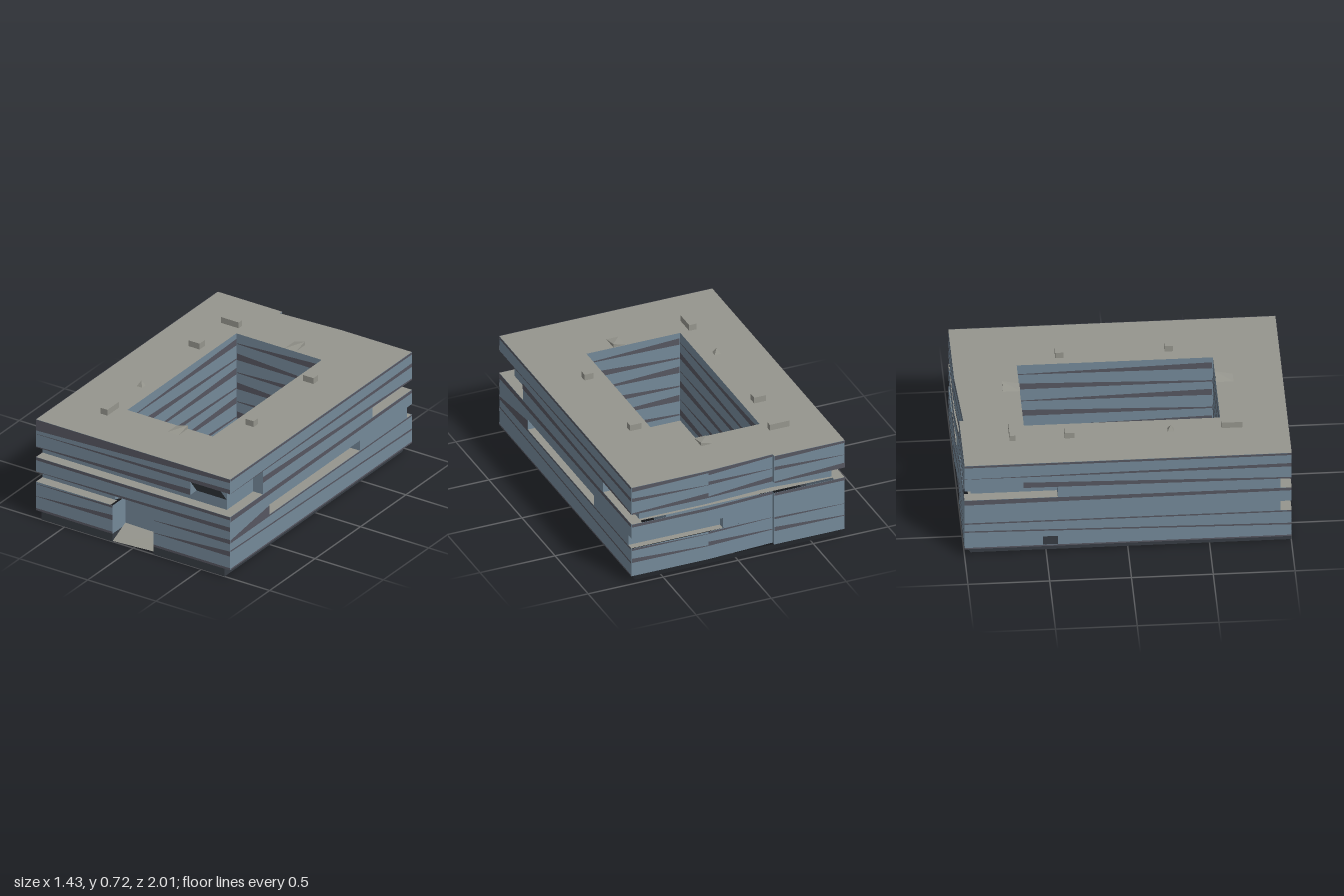
import * as THREE from 'three';

const mat = (name, color) => new THREE.MeshStandardMaterial({ name, color, side: THREE.DoubleSide });

export function createModel() {
  const model = new THREE.Group();
  const wallBlue = mat('blue cladding', 0x748999);
  const bandDark = mat('dark band', 0x565761);
  const baseDark = mat('dark plinth', 0x373c43);
  const roofGrey = mat('roof grey', 0x95958d);

  const add = (name, geo, material) => {
    const mesh = new THREE.Mesh(geo, material);
    mesh.name = name;
    model.add(mesh);
    return mesh;
  };
  // flat quads, each given as four [x, y, z] corners
  const quads = (list) => {
    const pos = [];
    for (const [a, b, c, d] of list) pos.push(...a, ...b, ...c, ...a, ...c, ...d);
    const g = new THREE.BufferGeometry();
    g.setAttribute('position', new THREE.Float32BufferAttribute(pos, 3));
    g.computeVertexNormals();
    return g;
  };
  // upright strip around an outline of [x, z] points
  const wall = (name, outline, y0, y1, material, top = outline) => {
    const list = outline.map((p, i) => {
      const j = (i + 1) % outline.length, q = outline[j];
      return [[p[0], y0, p[1]], [q[0], y0, q[1]], [top[j][0], y1, top[j][1]], [top[i][0], y1, top[i][1]]];
    });
    return add(name, quads(list), material);
  };
  const slab = (x0, x1, z0, z1, y) => [[x0, y, z1], [x1, y, z1], [x1, y, z0], [x0, y, z0]];

  const X = 0.71, IN = 0.64, D = 0.86;
  const door = [[-0.15, 1], [-0.15, D], [0.15, D], [0.15, 1]];
  const back = [[X, -1], [0.2, -1], [-0.24, -0.975], [-0.24, -1], [-X, -1]];
  const full = [[-X, 1], [X, 1], ...back];

  // Plinth, set in at the sides and leaning in at the rear
  const plinth = (z) => [[-0.67, 1], ...door, [0.67, 1], [0.67, z], [-0.67, z]];
  wall('plinth', plinth(-0.96), 0, 0.055, baseDark, plinth(-0.995));
  add('plinthSoffit', quads([slab(0.67, X, -1, 1, 0.055), slab(-X, -0.67, -1, 1, 0.055)]), baseDark);

  // Storeys, stacked from the ground
  wall('groundStorey', [[-X, 1], ...door, [X, 1], ...back], 0.055, 0.25, wallBlue);
  wall('lowerWindowStorey', [
    [-X, 0.93], [-0.18, 0.93], [-0.15, D], [0.15, D], [0.15, 1], [X, 1],
    [X, 0.57], [IN, 0.57], [IN, -0.43], [X, -0.43],
    [X, -0.95], [0.1, -0.95], [0.1, -0.994], [-0.24, -0.975], [-0.24, -1], [-X, -1],
  ], 0.25, 0.32, wallBlue);
  wall('middleStorey', full, 0.32, 0.42, wallBlue);
  wall('upperWindowStorey', [
    [-X, 0.93], [IN, 0.93], [IN, 0.64], [X, 0.64],
    [X, -0.57], [IN, -0.57], [IN, -0.955], [0.2, -0.955], [-0.24, -0.93], [-IN, -0.96],
    [-IN, -0.43], [-X, -0.43],
  ], 0.42, 0.49, wallBlue);
  wall('cornerWindowStorey', [
    [-X, 1], [0.42, 1], [0.42, 0.93], [IN, 0.93], [IN, 0.64], [X, 0.64], ...back,
  ], 0.49, 0.58, wallBlue);
  wall('topStorey', full, 0.58, 0.68, wallBlue);

  // Floors and ceilings of the recessed window strips
  const ledges = [];
  for (const y of [0.25, 0.32]) {
    ledges.push(slab(-X, -0.165, 0.93, 1, y), slab(IN, X, -0.43, 0.57, y), slab(0.1, X, -0.995, -0.95, y));
  }
  for (const y of [0.42, 0.49]) {
    ledges.push(slab(IN, X, -1, -0.57, y), slab(-X, -IN, -1, -0.43, y), slab(-IN, IN, -0.975, -0.93, y));
  }
  ledges.push(slab(-X, X, 0.93, 1, 0.42), slab(-X, 0.42, 0.93, 1, 0.49));
  for (const y of [0.42, 0.58]) ledges.push(slab(IN, X, 0.64, y === 0.42 ? 0.93 : 1, y));
  ledges.push(slab(-0.15, 0.15, D, 1, 0.32));
  add('windowLedges', quads(ledges), roofGrey);
  add('slopedCornerSoffit', quads([[[0.42, 0.49, 0.932], [IN, 0.49, 0.932], [IN, 0.58, 1], [0.42, 0.58, 1]]]), baseDark);
  add('entranceRamp', quads([[[-0.15, 0.005, 1], [0.15, 0.02, 1], [0.15, 0.065, D], [-0.15, 0.07, D]]]), roofGrey);

  // Roof with the courtyard opening
  const path = (pts) => pts.map(([x, z]) => new THREE.Vector2(x, -z));
  const yard = [[-0.315, 0.59], [0.31, 0.59], [0.31, -0.61], [-0.315, -0.61]];
  const roofShape = new THREE.Shape(path(full));
  roofShape.holes.push(new THREE.Path(path(yard)));
  add('roof', new THREE.ShapeGeometry(roofShape).rotateX(-Math.PI / 2).translate(0, 0.68, 0), roofGrey);
  wall('courtyardWalls', yard, 0.06, 0.68, wallBlue);
  add('courtyardFloor', quads([slab(-0.315, 0.31, -0.61, 0.59, 0.06)]), roofGrey);

  // Tapering dark bands: [start, end, low and high at start, low and high at end]
  const bands = (name, at, list) => add(name, quads(list.map(([s, e, a, b, c, d]) => {
    const [sx, sz] = at(s), [ex, ez] = at(e);
    return [[sx, a, sz], [ex, c, ez], [ex, d, ez], [sx, b, sz]];
  })), bandDark);
  const o = 0.003;
  bands('frontBands', (x) => [x, 1 + o], [
    [-X, X, 0.605, 0.68, 0.657, 0.68], [-X, X, 0.58, 0.582, 0.58, 0.61],
    [-X, 0.42, 0.49, 0.495, 0.49, 0.53], [-X, X, 0.4, 0.42, 0.4, 0.42],
    [-X, X, 0.32, 0.322, 0.32, 0.35], [0.15, X, 0.235, 0.237, 0.235, 0.265],
    [0.15, X, 0.15, 0.152, 0.15, 0.185], [-X, -0.15, 0.15, 0.152, 0.15, 0.185],
    [-X, -0.15, 0.235, 0.237, 0.235, 0.25], [-X, -0.15, 0.055, 0.07, 0.055, 0.07],
    [0.15, X, 0.055, 0.07, 0.055, 0.07],
  ]);
  const sideBands = [
    [1, -1, 0.665, 0.68, 0.665, 0.68], [1, -1, 0.58, 0.582, 0.58, 0.605],
    [0.64, -1, 0.5, 0.54, 0.49, 0.5], [1, -1, 0.385, 0.42, 0.4, 0.42],
    [1, -1, 0.24, 0.25, 0.24, 0.25], [1, -1, 0.18, 0.19, 0.143, 0.155],
    [1, -1, 0.055, 0.065, 0.055, 0.065],
  ];
  bands('sideBandsLeft', (z) => [X + o, z], [...sideBands, [1, 0.57, 0.25, 0.26, 0.25, 0.315]]);
  bands('sideBandsRight', (z) => [-X - o, -z], sideBands);
  const rearBands = [
    [0.65, 0.68, 0.665, 0.68], [0.58, 0.605, 0.58, 0.582], [0.49, 0.5, 0.49, 0.525],
    [0.4, 0.42, 0.4, 0.42], [0.235, 0.25, 0.235, 0.237], [0.15, 0.18, 0.15, 0.155],
  ];
  bands('rearBandsLeft', (x) => [x, -1 - o], rearBands.map((b) => [X, 0.2, ...b]));
  bands('rearBandsMiddle', (x) => [x, -1 - o + (0.2 - x) * 0.057], rearBands.map((b) => [0.2, -0.24, ...b]));
  bands('rearBandsRight', (x) => [x, -1 - o], rearBands.map((b) => [-0.24, -X, ...b]));
  const yardBands = [0.1, 0.2, 0.3, 0.4, 0.5, 0.6].map((y, i) =>
    (i % 2 ? [y, y + 0.045, y + 0.01, y + 0.015] : [y, y + 0.01, y, y + 0.045]));
  for (const [name, at, s, e] of [
    ['yardBandsFront', (x) => [x, 0.59 - o], -0.31, 0.305],
    ['yardBandsRear', (x) => [x, -0.61 + o], 0.305, -0.31],
    ['yardBandsLeft', (z) => [0.31 - o, z], 0.585, -0.605],
    ['yardBandsRight', (z) => [-0.315 + o, z], -0.605, 0.585],
  ]) bands(name, at, yardBands.map((b) => [s, e, ...b]));

  // Small slot low on the right side near the rear
  add('lowSlot', quads([[[-X - 0.005, 0.07, -0.52], [-X - 0.005, 0.07, -0.43],
    [-X - 0.005, 0.13, -0.43], [-X - 0.005, 0.13, -0.52]]]), baseDark);

  // Rooftop units
  for (const [x, z, w, d] of [
    [-0.405, -0.69, 0.13, 0.035], [-0.425, -0.34, 0.08, 0.06], [0.405, -0.345, 0.075, 0.05],
    [0.42, 0.325, 0.06, 0.05], [-0.4, 0.655, 0.05, 0.13],
  ]) add('roofUnit', new THREE.BoxGeometry(w, 0.04, d).translate(x, 0.7, z), roofGrey);
  const vent = new THREE.ConeGeometry(0.028, 0.035, 4).rotateY(Math.PI / 4).toNonIndexed();
  vent.computeVertexNormals();
  add('roofVent', vent.translate(-0.42, 0.6975, 0.28), roofGrey);

  // Wedge skylights with one raised corner edge
  for (const [x, z] of [[0.08, -0.66], [0.09, 0.645]]) {
    const [a, b, c, d] = slab(x - 0.04, x + 0.04, z - 0.053, z + 0.053, 0.682);
    const peak = [x + 0.04, 0.705, z - 0.053];
    add('skylight', quads([[a, b, peak, d], [b, c, peak, peak], [c, d, peak, peak]]), roofGrey);
  }
  return model;
}
